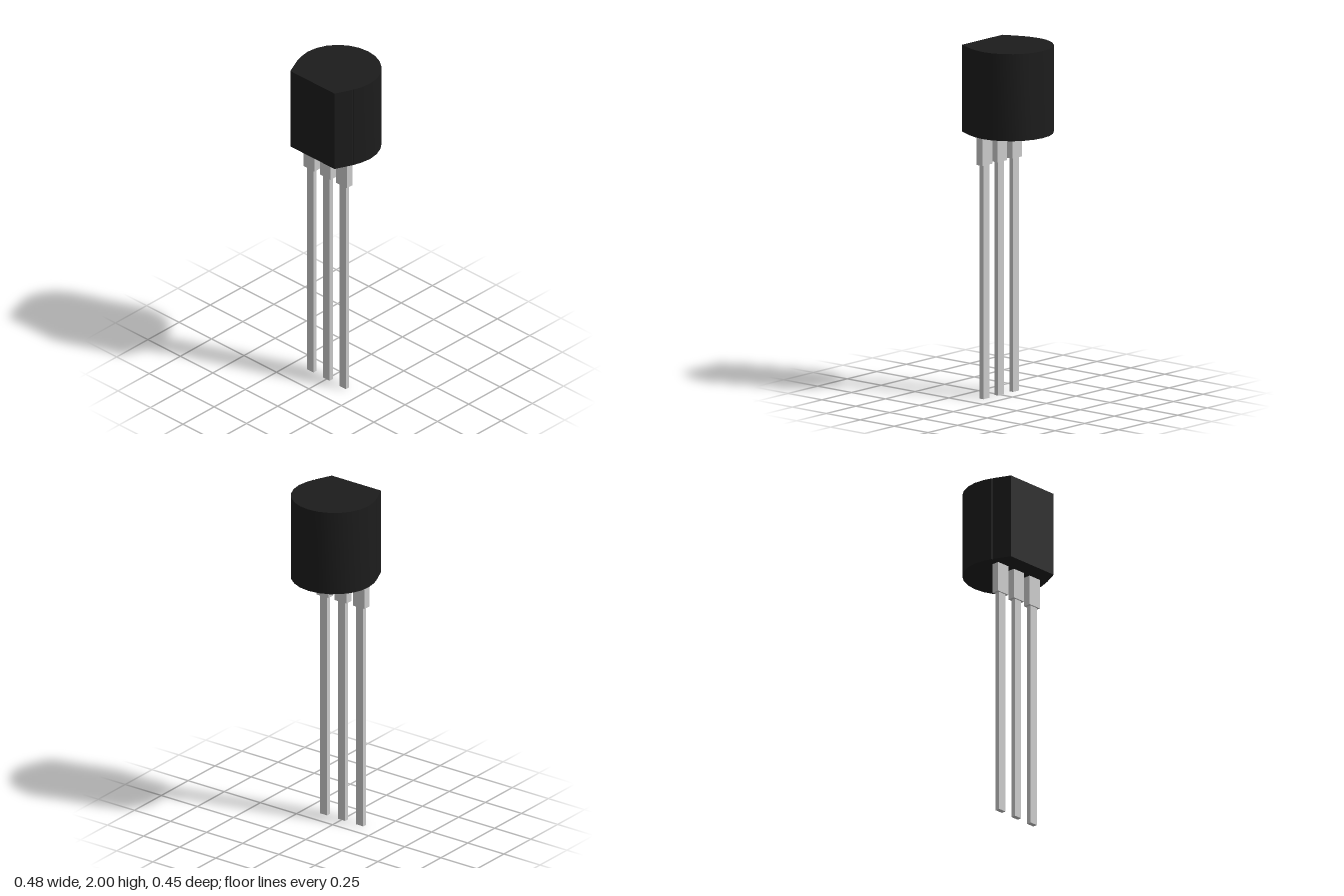
import * as THREE from 'three';
import { toCreasedNormals } from 'three/addons/utils/BufferGeometryUtils.js';

const BOTTOM = 1.505, TOP = 2;

// Upright prism from an outline of [x, z] points
function prism(name, outline, material) {
  const shape = new THREE.Shape(outline.map(([x, z]) => new THREE.Vector2(x, -z)));
  const geometry = new THREE.ExtrudeGeometry(shape, { depth: TOP - BOTTOM, bevelEnabled: false });
  geometry.rotateX(-Math.PI / 2).translate(0, BOTTOM, 0);
  const mesh = new THREE.Mesh(toCreasedNormals(geometry, 0.4), material);
  mesh.name = name;
  return mesh;
}

function box(name, width, depth, y0, y1, material) {
  const mesh = new THREE.Mesh(new THREE.BoxGeometry(width, y1 - y0, depth), material);
  mesh.position.y = (y0 + y1) / 2;
  mesh.name = name;
  return mesh;
}

export function createModel() {
  const model = new THREE.Group();
  model.name = 'transistor';
  const black = new THREE.MeshStandardMaterial({ color: 0x1c1c1c });
  const grey = new THREE.MeshStandardMaterial({ color: 0xcccccc });

  // Rounded back of the case, in 15 degree facets
  const arc = [[0.217, 0.118]];
  for (let i = 7; i >= -7; i--) {
    const a = i * Math.PI / 12;
    arc.push([0.24 * Math.sin(a), 0.01 - 0.235 * Math.cos(a)]);
  }
  arc.push([-0.217, 0.118]);
  model.add(prism('caseBack', arc, black));

  // Tapered front of the case with its flat face
  model.add(prism('caseFront', [
    [-0.212, 0.118], [-0.214, 0.126], [-0.17, 0.222],
    [0.17, 0.222], [0.214, 0.126], [0.212, 0.118],
  ], black));

  // Three leads, each a wide shoulder and a thin pin
  ['rightLead', 'middleLead', 'leftLead'].forEach((name, i) => {
    const lead = new THREE.Group();
    lead.name = name;
    lead.add(box('shoulder', 0.082, 0.044, 1.33, 1.52, grey));
    lead.add(box('pin', 0.05, 0.027, 0, 1.335, grey));
    lead.position.set((i - 1) * 0.125, 0, 0.097);
    model.add(lead);
  });

  return model;
}
